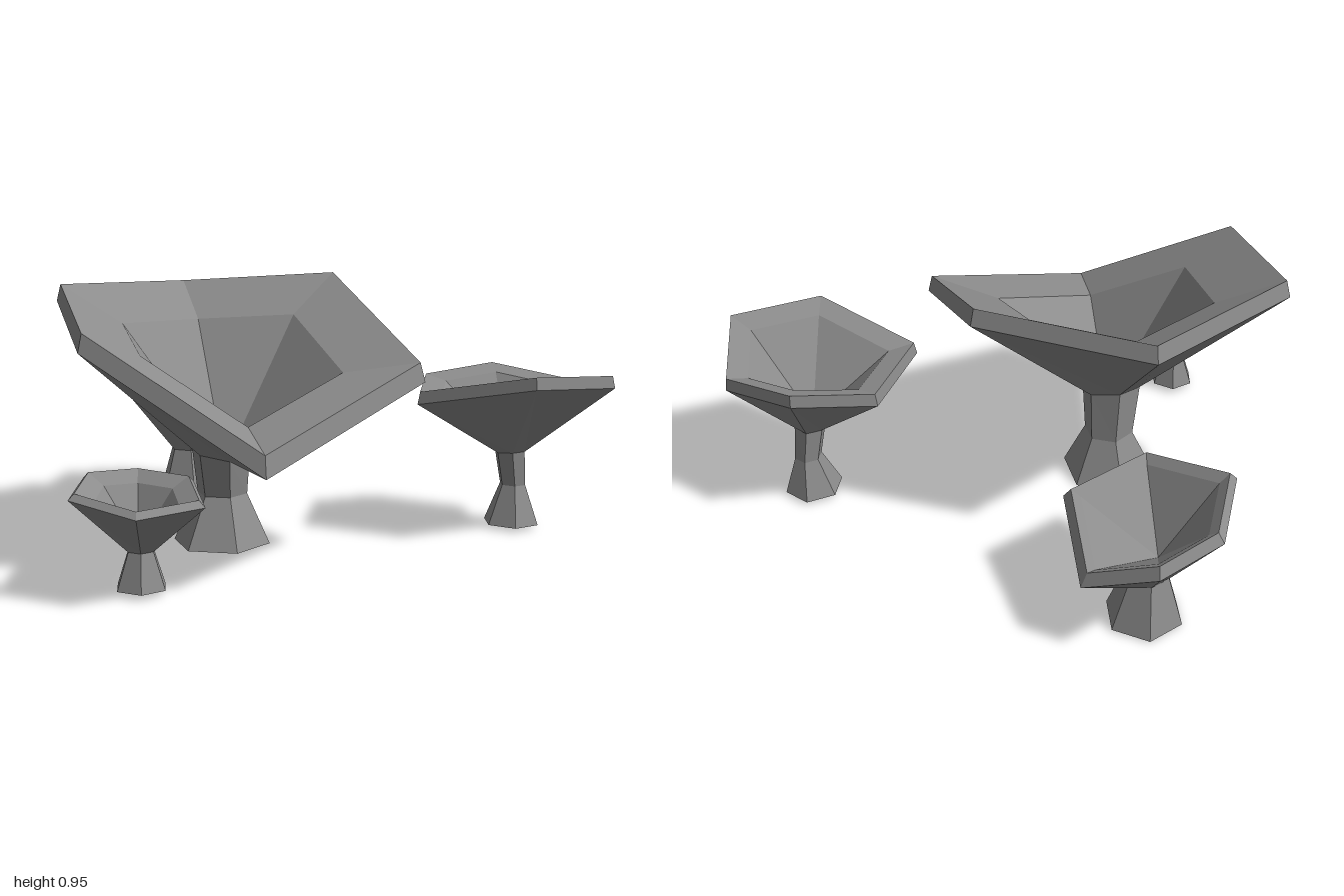
import * as THREE from 'three';

const SIDES = 6;
const material = new THREE.MeshStandardMaterial({
  color: 0x8c8c8c, flatShading: true, side: THREE.DoubleSide,
});
const V = (x, y, z) => new THREE.Vector3(x, y, z);

// Skin a stack of six-point rings; a pole is a ring of one shared point.
function loft(name, rings) {
  const pos = [];
  const tri = (a, b, c) => {
    if (a !== b && b !== c && a !== c) for (const p of [a, b, c]) pos.push(p.x, p.y, p.z);
  };
  for (let r = 0; r < rings.length - 1; r++) {
    const lo = rings[r], up = rings[r + 1];
    for (let k = 0; k < SIDES; k++) {
      const n = (k + 1) % SIDES;
      tri(lo[k], up[k], up[n]);
      tri(lo[k], up[n], lo[n]);
    }
  }
  const geometry = new THREE.BufferGeometry();
  geometry.setAttribute('position', new THREE.Float32BufferAttribute(pos, 3));
  geometry.computeVertexNormals();
  const mesh = new THREE.Mesh(geometry, material);
  mesh.name = name;
  return mesh;
}

// One cup mushroom: rim is the outer edge of the cup, stem lists [x, y, z, radius].
function cupMushroom({ name, rim, stem, lip, inset, inner, drop, pit }) {
  const edge = rim.map((p) => V(...p));
  const centre = edge.reduce((s, p) => s.add(p), V(0, 0, 0)).divideScalar(SIDES);

  // Average facing of the tilted rim
  const normal = V(0, 0, 0);
  edge.forEach((p, k) => {
    const a = p.clone().sub(centre), b = edge[(k + 1) % SIDES].clone().sub(centre);
    normal.add(b.cross(a));
  });

  // Open-footed stem shares the rim's heading; a separate neck leans with the cup
  const start = Math.atan2(edge[0].z - centre.z, edge[0].x - centre.x);
  const stemRings = stem.map(([x, y, z, r], i) => edge.map((_, k) => {
    const a = start + k * Math.PI * 2 / SIDES;
    const dx = r * Math.cos(a), dz = r * Math.sin(a);
    const lean = i === 2 ? -(normal.x * dx + normal.z * dz) / normal.y : 0;
    return V(x + dx, y + lean, z + dz);
  }));

  // Upright lip, shallow inner shelf and pointed pit
  const ring = (scale, rise) => edge.map((p) => centre.clone().lerp(p, scale).add(V(0, rise, 0)));
  const lipRing = ring(1 - inset, lip);
  const innerRing = ring(inner, lip - drop);
  const pitPole = Array(SIDES).fill(V(...pit));

  const group = new THREE.Group();
  group.name = name;
  group.add(
    loft('stem', stemRings),
    loft('cup', [stemRings[stemRings.length - 1], edge, lipRing, innerRing, pitPole])
  );
  return group;
}

const mushrooms = [
  {
    name: 'largeMushroom', lip: 0.064, inset: 0.025, inner: 0.6, drop: 0.085, pit: [-0.05, 0.29, 0.145],
    rim: [[-0.055, 0.89, -0.505], [0.6, 0.62, -0.16], [0.505, 0.39, 0.56],
      [-0.1, 0.75, 0.78], [-0.637, 0.865, 0.41], [-0.59, 0.85, -0.2]],
    stem: [[-0.075, 0, 0.135, 0.178], [-0.08, 0.18, 0.125, 0.092], [-0.07, 0.355, 0.145, 0.108]],
  },
  {
    name: 'backMushroom', lip: 0.045, inset: 0.025, inner: 0.73, drop: 0.025, pit: [0.615, 0.3, -0.72],
    rim: [[0.715, 0.505, -0.99], [0.995, 0.565, -0.785], [0.855, 0.58, -0.47],
      [0.44, 0.5, -0.355], [0.25, 0.515, -0.68], [0.405, 0.55, -0.925]],
    stem: [[0.61, 0.013, -0.755, 0.107], [0.607, 0.16, -0.765, 0.05], [0.605, 0.29, -0.74, 0.058]],
  },
  {
    name: 'leftMushroom', lip: 0.037, inset: 0.09, inner: 0.79, drop: 0.02, pit: [-0.72, 0.21, -0.31],
    rim: [[-0.68, 0.26, -0.63], [-0.41, 0.365, -0.44], [-0.475, 0.39, -0.11],
      [-0.84, 0.478, -0.08], [-1.0, 0.457, -0.335], [-0.925, 0.39, -0.54]],
    stem: [[-0.72, 0.005, -0.37, 0.135], [-0.725, 0.185, -0.365, 0.075]],
  },
  {
    name: 'frontMushroom', lip: 0.02, inset: 0.09, inner: 0.62, drop: 0.03, pit: [0.14, 0.16, 0.755],
    rim: [[0.0, 0.35, 0.62], [0.225, 0.35, 0.59], [0.39, 0.312, 0.71],
      [0.3, 0.297, 0.915], [0.075, 0.335, 0.985], [-0.085, 0.35, 0.78]],
    stem: [[0.14, 0.018, 0.745, 0.088], [0.14, 0.14, 0.745, 0.046]],
  },
];

export function createModel() {
  const model = new THREE.Group();
  model.name = 'cupMushrooms';
  for (const spec of mushrooms) model.add(cupMushroom(spec));
  return model;
}
